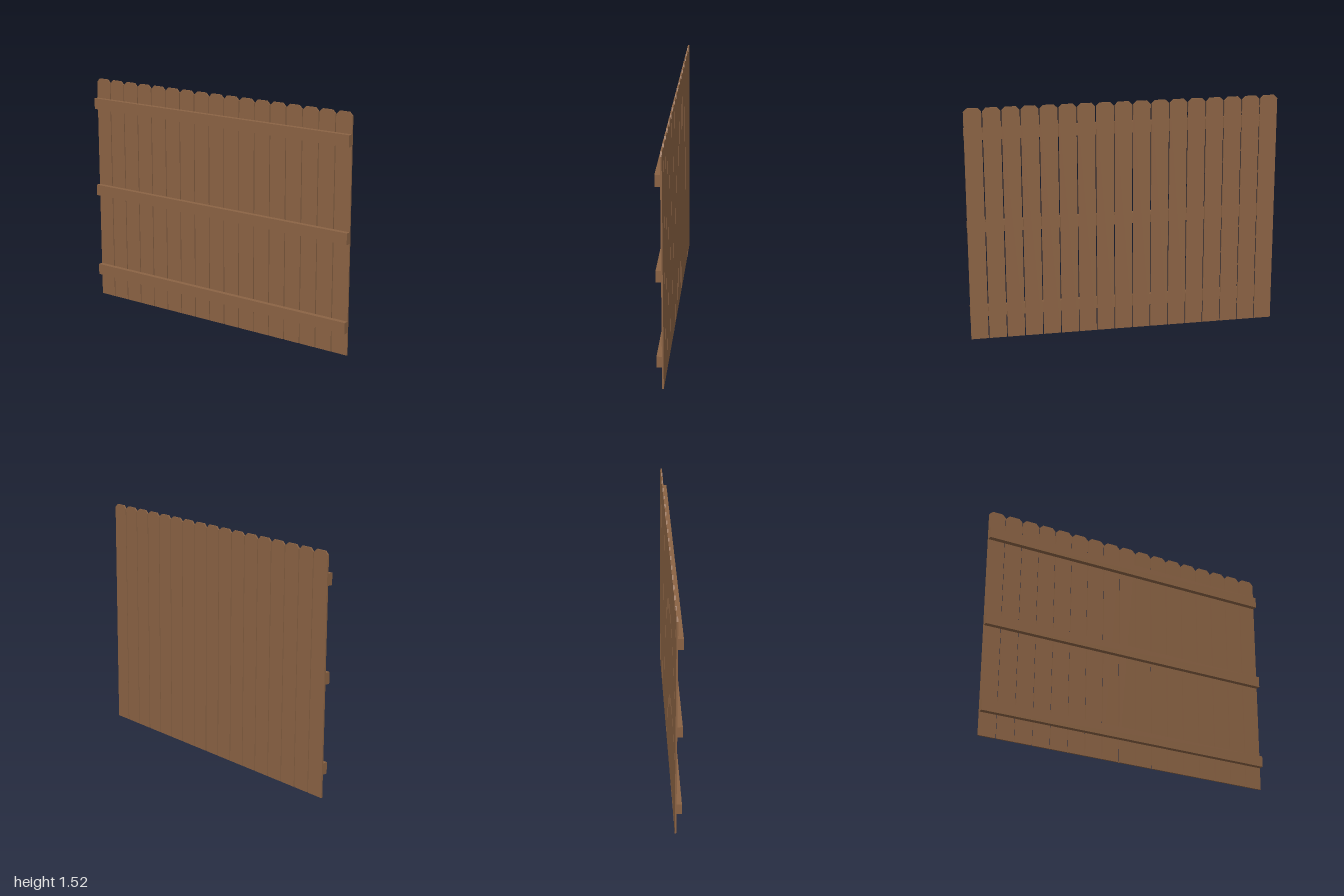
import * as THREE from 'three';

export function createModel() {
  const model = new THREE.Group();
  model.name = 'fencePanel';
  const wood = new THREE.MeshStandardMaterial({ color: 0x8b6344 });
  wood.name = 'brown wood';

  const count = 17, width = 0.112, height = 1.52, ear = 0.022, thick = 0.01;
  const pitch = (2 - width) / (count - 1);
  const lean = 0.005; // the whole panel tips slightly forward

  const panel = new THREE.Group();
  panel.name = 'panel';
  panel.rotation.x = lean;
  panel.position.z = -0.012;
  model.add(panel);

  // Dog-eared picket, front face on z = 0
  const w = width / 2;
  const outline = new THREE.Shape([
    [-w, 0], [w, 0], [w, height - ear], [w - ear, height],
    [ear - w, height], [-w, height - ear],
  ].map(([x, y]) => new THREE.Vector2(x, y)));
  const picketGeometry = new THREE.ExtrudeGeometry(outline, { depth: thick, bevelEnabled: false });
  picketGeometry.translate(0, 0, -thick);
  for (let i = 0; i < count; i++) {
    const picket = new THREE.Mesh(picketGeometry, wood);
    picket.name = `picket${i + 1}`;
    picket.position.x = -1 + w + i * pitch;
    panel.add(picket);
  }

  // Three horizontal rails across the front
  const railGeometry = new THREE.BoxGeometry(2, 0.073, 0.032);
  [['bottomRail', 0.185], ['middleRail', 0.753], ['topRail', 1.352]].forEach(([name, y]) => {
    const rail = new THREE.Mesh(railGeometry, wood);
    rail.name = name;
    rail.position.set(0, y, 0.016);
    panel.add(rail);
  });

  return model;
}
